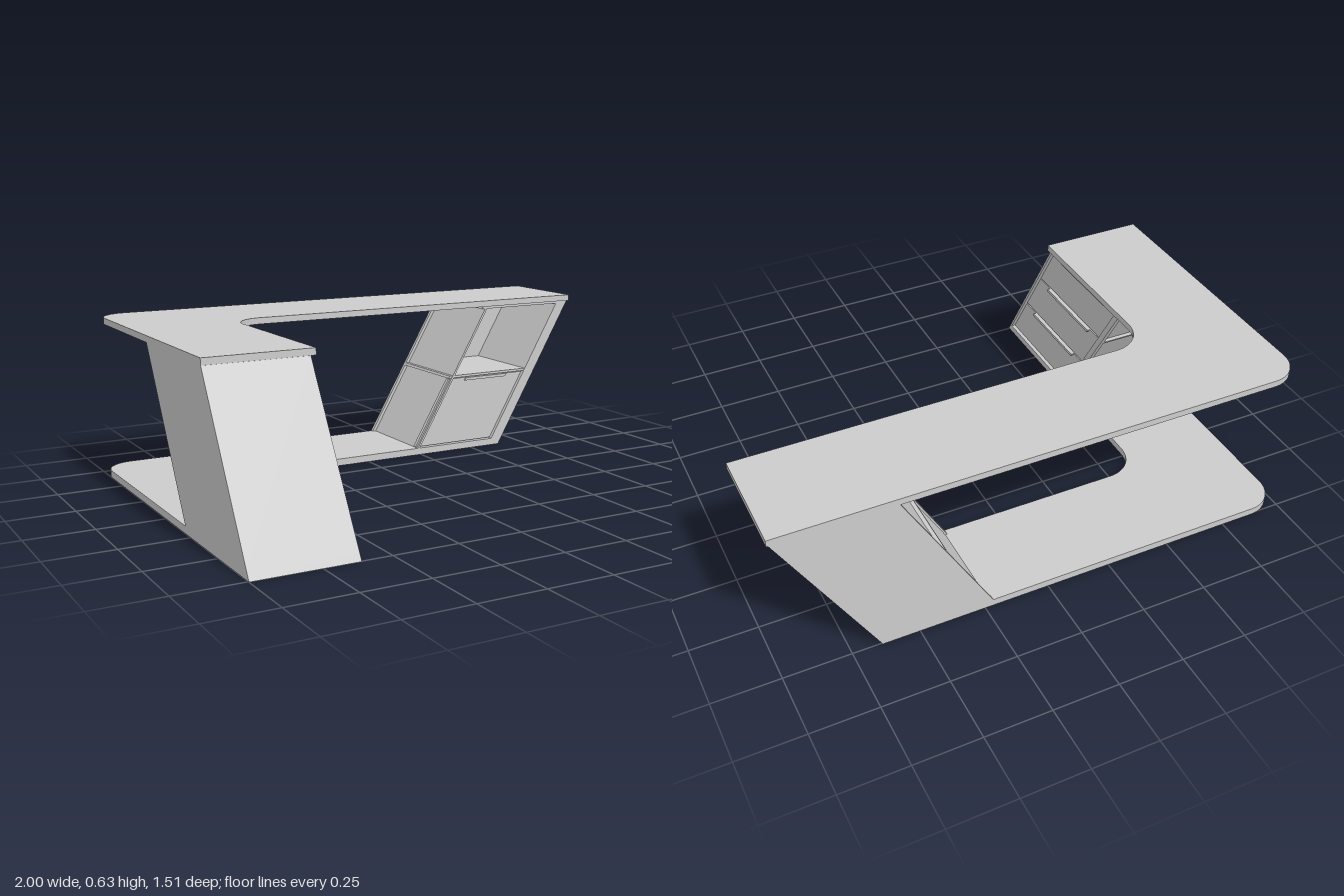
import * as THREE from 'three';
import { toCreasedNormals } from 'three/addons/utils/BufferGeometryUtils.js';

const LEAN = 0.58; // sideways run per unit of height

export function createModel() {
  const desk = new THREE.Group();
  desk.name = 'cornerDesk';
  const grey = new THREE.MeshStandardMaterial({ color: 0xcccccc });
  grey.name = 'lightGrey';

  // L-shaped board with rounded outer and inner corners
  function board(name, top, thick, xIn, zIn, xEnd, zEnd) {
    const r = 0.12, ri = 0.125, back = -0.755;
    const s = new THREE.Shape();
    s.moveTo(-1, zEnd);
    s.lineTo(-1, back + r);
    s.absarc(-1 + r, back + r, r, Math.PI, 1.5 * Math.PI, false);
    s.lineTo(xEnd, back);
    s.lineTo(xEnd, zIn);
    s.lineTo(xIn + ri, zIn);
    s.absarc(xIn + ri, zIn + ri, ri, 1.5 * Math.PI, Math.PI, true);
    s.lineTo(xIn, zEnd);
    s.closePath();
    const g = new THREE.ExtrudeGeometry(s, { depth: thick, bevelEnabled: false, curveSegments: 14 });
    g.rotateX(Math.PI / 2).translate(0, top, 0);
    const m = new THREE.Mesh(toCreasedNormals(g, 0.5), grey);
    m.name = name;
    desk.add(m);
  }

  // Box given by its limits at floor level, sheared along x or z with height
  function leaning(group, axis, name, x0, x1, y0, y1, z0, z1) {
    const g = new THREE.BoxGeometry(x1 - x0, y1 - y0, z1 - z0).toNonIndexed();
    g.translate((x0 + x1) / 2, (y0 + y1) / 2, (z0 + z1) / 2);
    const p = g.attributes.position;
    for (let i = 0; i < p.count; i++) {
      const shift = LEAN * p.getY(i);
      if (axis === 'x') p.setX(i, p.getX(i) + shift);
      else p.setZ(i, p.getZ(i) - shift);
    }
    g.computeVertexNormals();
    const m = new THREE.Mesh(g, grey);
    m.name = name;
    group.add(m);
  }

  board('deskTop', 0.635, 0.025, -0.595, -0.355, 1, 0.4);
  board('baseBoard', 0.028, 0.028, -0.615, -0.362, 0.23, 0.217);

  // Drawer cabinet, leaning backwards
  const drawers = new THREE.Group();
  drawers.name = 'drawerCabinet';
  desk.add(drawers);
  const dz = (...a) => leaning(drawers, 'z', ...a);
  dz('foot', -1, -0.615, 0, 0.028, 0.217, 0.755);
  dz('endPanel', -1, -0.615, 0.028, 0.61, 0.743, 0.755);
  dz('outerPanel', -1, -0.985, 0.028, 0.61, 0.217, 0.743);
  dz('innerPanel', -0.985, -0.615, 0.028, 0.61, 0.235, 0.245);
  dz('frontStile', -0.633, -0.615, 0.028, 0.61, 0.217, 0.235);
  dz('shelfEdge', -0.985, -0.633, 0.397, 0.407, 0.217, 0.235);
  dz('topPanel', -0.985, -0.615, 0.598, 0.61, 0.217, 0.743);
  for (const [y0, y1] of [[0.032, 0.213], [0.219, 0.404], [0.41, 0.594]]) {
    dz('drawerFront', -0.65, -0.628, y0, y1, 0.248, 0.74);
    dz('drawerHandle', -0.628, -0.616, y1 - 0.012, y1, 0.32, 0.655);
  }

  // Open-topped side cabinet, leaning outwards
  const side = new THREE.Group();
  side.name = 'shelfCabinet';
  desk.add(side);
  const sx = (...a) => leaning(side, 'x', ...a);
  sx('foot', 0.203, 0.64, 0, 0.028, -0.755, -0.362);
  sx('outerPanel', 0.588, 0.64, 0.028, 0.61, -0.755, -0.362);
  sx('backPanel', 0.203, 0.588, 0.028, 0.61, -0.755, -0.74);
  sx('innerPanel', 0.218, 0.228, 0.028, 0.61, -0.74, -0.362);
  sx('topPanel', 0.203, 0.588, 0.6, 0.61, -0.74, -0.362);
  sx('shelf', 0.203, 0.588, 0.314, 0.324, -0.74, -0.364);
  sx('lowerDrawer', 0.21, 0.583, 0.032, 0.31, -0.39, -0.372);
  sx('lowerHandle', 0.295, 0.5, 0.298, 0.31, -0.372, -0.363);

  return desk;
}
